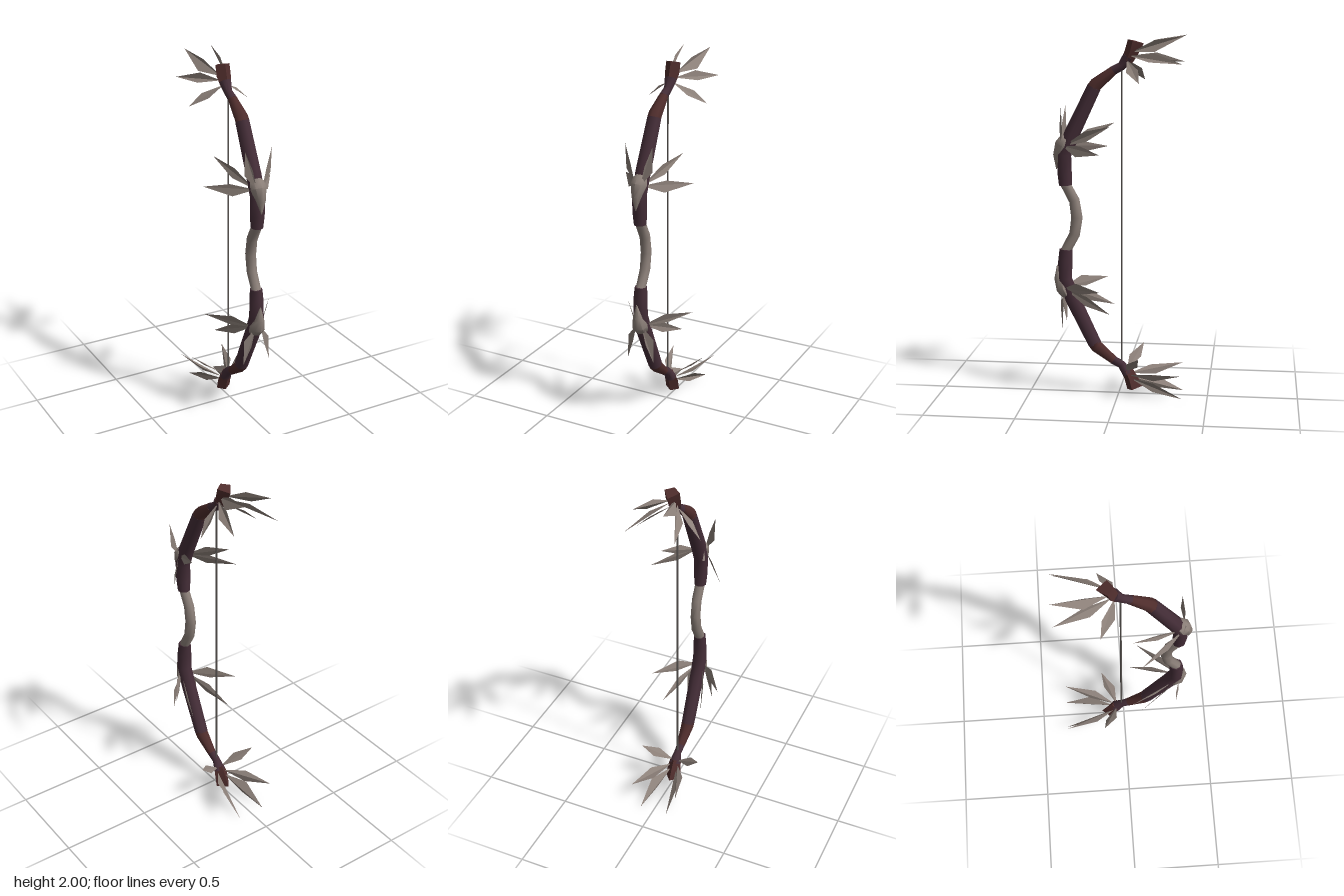
import * as THREE from 'three';
import { toCreasedNormals } from 'three/addons/utils/BufferGeometryUtils.js';

const mat = (name, color, opts = {}) => {
  const m = new THREE.MeshStandardMaterial({ color, ...opts });
  m.name = name;
  return m;
};

// Faceted geometry from a flat list of Vector3 triangle corners
function fromTriangles(points) {
  const g = new THREE.BufferGeometry().setFromPoints(points);
  g.computeVertexNormals();
  return g;
}

// Lofts a bent bar in the z-y plane. Section: [z, y, half width, front depth, back depth]
function loft(sections, sides) {
  const rings = sections.map(([z, y, w, front, back = front], i) => {
    const a = sections[Math.max(i - 1, 0)];
    const b = sections[Math.min(i + 1, sections.length - 1)];
    const len = Math.hypot(b[0] - a[0], b[1] - a[1]);
    const tz = (b[0] - a[0]) / len, ty = (b[1] - a[1]) / len;
    return Array.from({ length: sides }, (_, k) => {
      const t = (k / sides) * Math.PI * 2;
      const d = Math.sin(t) * (Math.sin(t) > 0 ? front : back);
      return new THREE.Vector3(Math.cos(t) * w, y - tz * d, z + ty * d);
    });
  });
  const tris = [];
  const centre = (i) => new THREE.Vector3(0, sections[i][1], sections[i][0]);
  const last = rings.length - 1;
  for (let k = 0; k < sides; k++) {
    const n = (k + 1) % sides;
    for (let i = 0; i < last; i++) {
      const [p, q, r, s] = [rings[i][k], rings[i][n], rings[i + 1][k], rings[i + 1][n]];
      tris.push(p, r, q, q, r, s);
    }
    tris.push(centre(0), rings[0][k], rings[0][n]);
    tris.push(centre(last), rings[last][n], rings[last][k]);
  }
  return toCreasedNormals(fromTriangles(tris), 0.9);
}

// Kite-shaped blade folded along its base-to-tip line; side mirrors it in x
function blade([base, edgeA, tip, edgeB], side) {
  const [b, e, t, f] = [base, edgeA, tip, edgeB].map(([x, y, z]) => new THREE.Vector3(x * side, y, z));
  return fromTriangles([b, e, t, b, t, f]);
}

// Blades of one half, each as base, edge, tip, edge
const midBlades = [
  [[0.02, 1.4, 0.31], [0.107, 1.41, 0.2], [0.205, 1.375, 0.083], [0.107, 1.35, 0.225]],
  [[0.02, 1.4, 0.3], [0.07, 1.485, 0.18], [0.12, 1.517, 0.037], [0.08, 1.43, 0.17]],
  [[0.015, 1.4, 0.32], [0.04, 1.51, 0.32], [0.08, 1.617, 0.305], [0.077, 1.48, 0.3]],
];
const tipBlades = [
  [[0.015, 1.91, -0.07], [0.05, 1.975, -0.195], [0.08, 2.0, -0.36], [0.082, 1.915, -0.2]],
  [[0.02, 1.89, -0.06], [0.07, 1.905, -0.2], [0.137, 1.852, -0.353], [0.1, 1.86, -0.17]],
  [[0.012, 1.868, -0.045], [0.107, 1.818, -0.115], [0.178, 1.752, -0.126], [0.1, 1.805, -0.05]],
];

export function createModel() {
  const purple = mat('dark purple wood', 0x452e38);
  const maroon = mat('maroon wood', 0x4f2d2c);
  const bone = mat('grey bone', 0x8c8079, { side: THREE.DoubleSide });
  const cord = mat('grey cord', 0x5e5956);

  const model = new THREE.Group();
  model.name = 'bow';
  const add = (parent, name, geometry, material) => {
    const mesh = new THREE.Mesh(geometry, material);
    mesh.name = name;
    parent.add(mesh);
    return mesh;
  };

  // One half of the bow, built for the upper side
  function buildHalf(name) {
    const half = new THREE.Group();
    half.name = name;
    half.position.y = -1;

    add(half, 'limb', loft([
      [0.296, 1.18, 0.034, 0.036], [0.3, 1.25, 0.04, 0.04], [0.302, 1.35, 0.042, 0.04],
      [0.26, 1.46, 0.042, 0.043], [0.135, 1.72, 0.039, 0.038],
    ], 8), purple);
    add(half, 'limbBend', loft([
      [0.137, 1.715, 0.039, 0.038], [0.125, 1.735, 0.038, 0.036], [0.03, 1.81, 0.025, 0.025],
    ], 8), maroon);
    add(half, 'limbNeck', loft([
      [0.035, 1.808, 0.024, 0.025], [-0.015, 1.835, 0.022, 0.024], [-0.05, 1.885, 0.036, 0.03],
    ], 8), purple);
    add(half, 'limbTip', loft([
      [-0.042, 1.865, 0.032, 0.028, 0.035], [-0.064, 1.91, 0.042, 0.033, 0.042],
      [-0.079, 1.97, 0.042, 0.031, 0.058],
    ], 4), maroon);

    // Pointed shell over the front of the limb
    add(half, 'frontGuard', loft([
      [0.345, 1.27, 0.002, 0.002], [0.334, 1.34, 0.026, 0.03, 0.03],
      [0.306, 1.4, 0.046, 0.048, 0.03], [0.29, 1.435, 0.04, 0.038, 0.03],
      [0.284, 1.452, 0.02, 0.022, 0.02],
    ], 8), bone);

    for (const side of [1, -1]) {
      const label = side > 0 ? 'left' : 'right';
      midBlades.forEach((b, i) => add(half, `${label}GuardBlade${i + 1}`, blade(b, side), bone));
      tipBlades.forEach((b, i) => add(half, `${label}TipBlade${i + 1}`, blade(b, side), bone));
    }
    const pivot = new THREE.Group();
    pivot.name = name + 'Pivot';
    pivot.position.y = 1;
    pivot.add(half);
    model.add(pivot);
    return pivot;
  }

  // The lower half is the upper half turned over
  buildHalf('upperHalf');
  buildHalf('lowerHalf').rotation.z = Math.PI;

  // Kinked grip
  add(model, 'grip', loft([
    [0.298, 0.81, 0.028, 0.028], [0.247, 0.905, 0.029, 0.03], [0.233, 1, 0.029, 0.032],
    [0.247, 1.095, 0.029, 0.03], [0.298, 1.19, 0.028, 0.028],
  ], 8), bone);

  // Bowstring
  const string = add(model, 'bowstring', new THREE.CylinderGeometry(0.005, 0.005, 1.67, 6), cord);
  string.position.set(0, 1, -0.016);

  return model;
}
